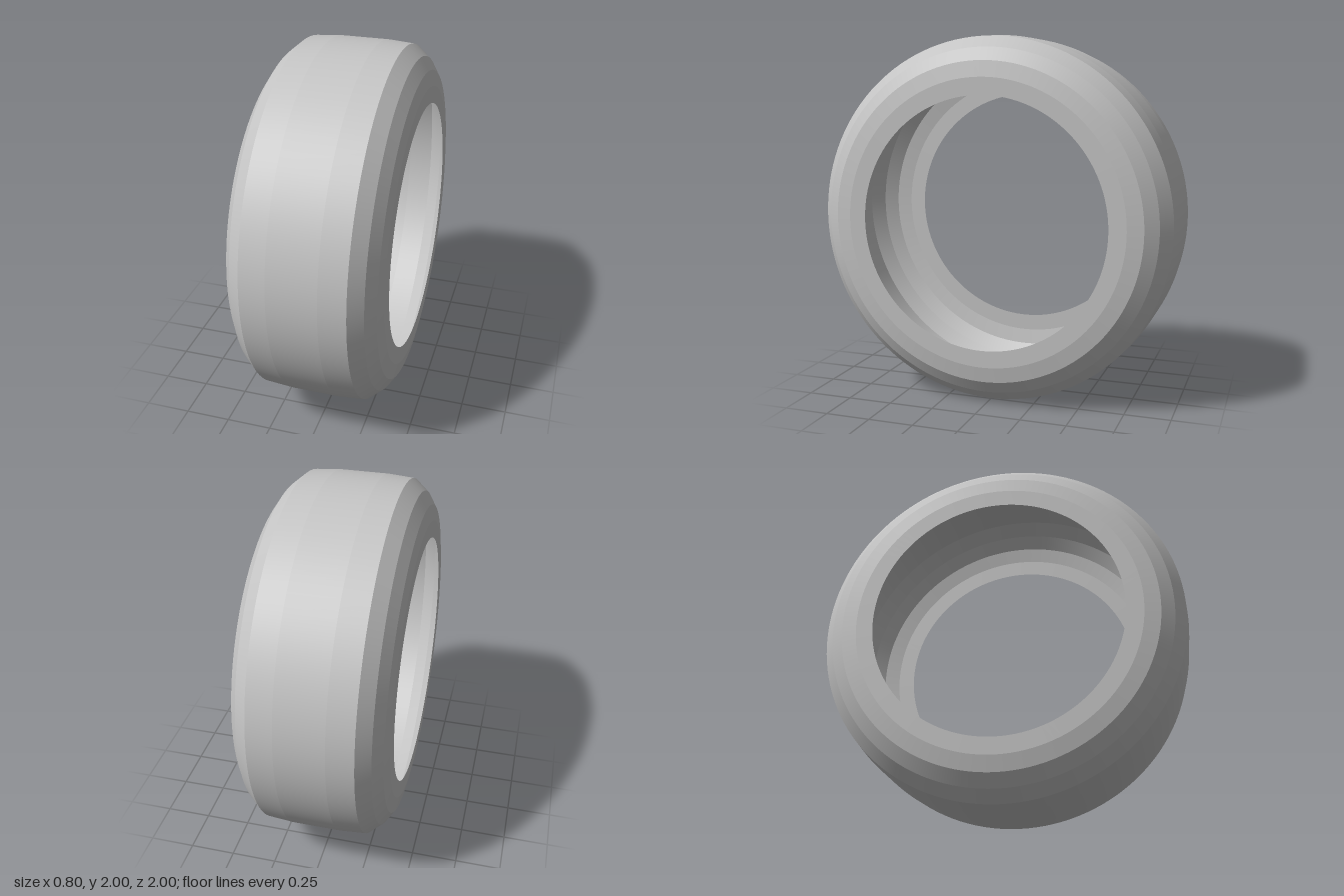
import * as THREE from 'three';

// Half profile of the thin shell: [distance from mid-plane, radius]
const HALF = [
  [0.13, 1.0],
  [0.27, 0.99],
  [0.34, 0.93],
  [0.385, 0.86],
  [0.4, 0.775],
  [0.4, 0.682],
];
const SEGMENTS = 128;

export function createModel() {
  const model = new THREE.Group();
  model.name = 'tyre';

  const rubber = new THREE.MeshStandardMaterial({ color: 0xc4c4c4, side: THREE.DoubleSide });
  rubber.name = 'grey rubber';

  // One ring swept around the x axis; points run towards +x so it faces outwards
  function addRing(name, a, b) {
    const points = [a, b].map(([x, r]) => new THREE.Vector2(r, x));
    const ring = new THREE.LatheGeometry(points, SEGMENTS);
    ring.rotateZ(-Math.PI / 2);
    const mesh = new THREE.Mesh(ring, rubber);
    mesh.name = name;
    mesh.position.y = 1;
    model.add(mesh);
  }

  const mirror = ([x, r]) => [-x, r];

  // Flat middle of the tread
  addRing('treadCentre', mirror(HALF[0]), HALF[0]);

  // Tread edges, shoulders and sidewalls, mirrored left and right
  const names = ['TreadEdge', 'Shoulder', 'UpperSidewall', 'LowerSidewall', 'BeadFace'];
  names.forEach((name, i) => {
    addRing('left' + name, HALF[i], HALF[i + 1]);
    addRing('right' + name, mirror(HALF[i + 1]), mirror(HALF[i]));
  });

  return model;
}
